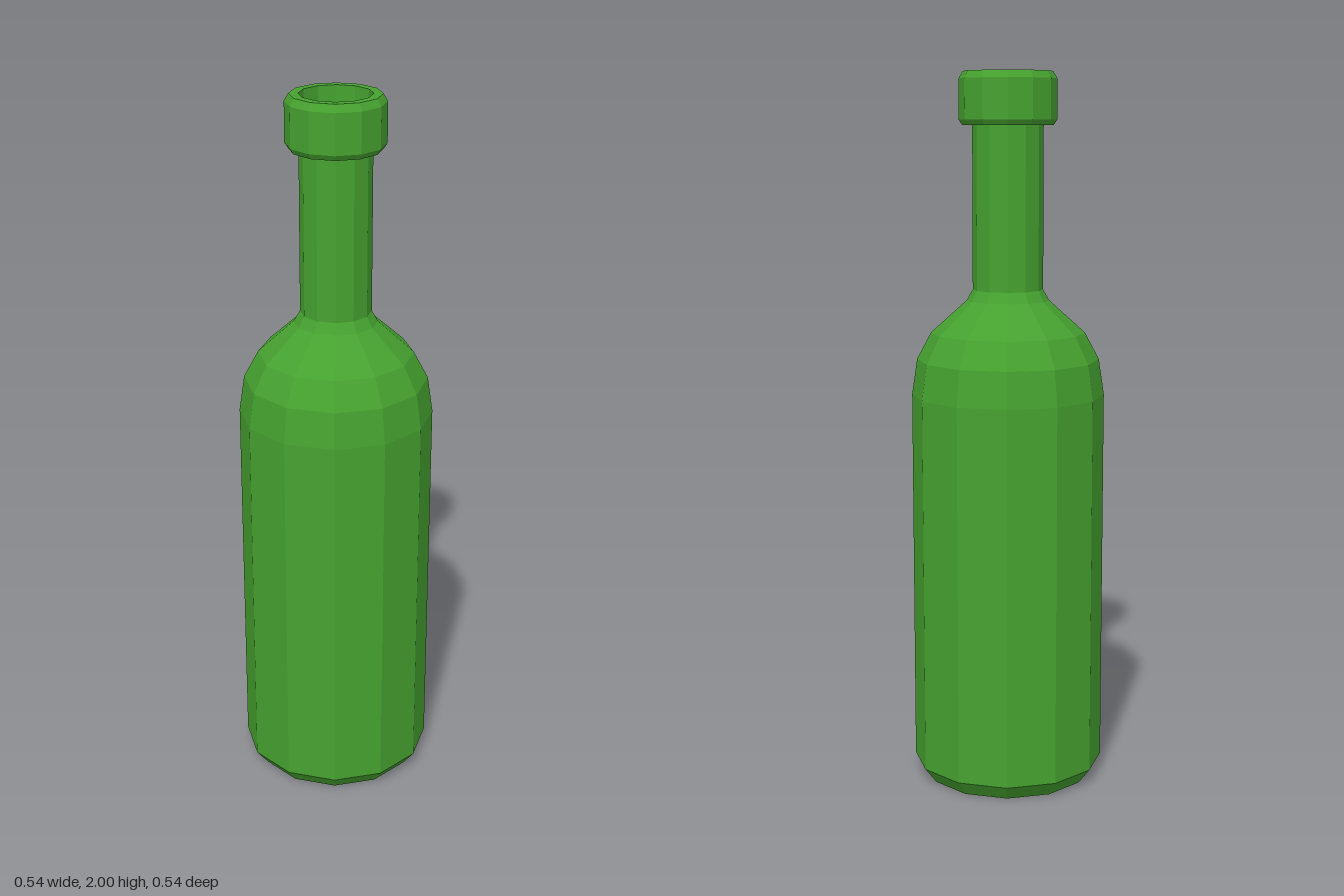
import * as THREE from 'three';

const SIDES = 12;

export function createModel() {
  const bottle = new THREE.Group();
  bottle.name = 'bottle';

  const greenGlass = new THREE.MeshStandardMaterial({ color: 0x46a230, flatShading: true });
  greenGlass.name = 'green glass';

  // Turns a [radius, height] profile into a faceted part
  const turned = (name, profile) => {
    const points = profile.map(([r, y]) => new THREE.Vector2(r, y));
    const mesh = new THREE.Mesh(new THREE.LatheGeometry(points, SIDES), greenGlass);
    mesh.name = name;
    bottle.add(mesh);
  };

  // Closed base with a bevel, straight wall and rounded shoulder
  turned('body', [
    [0, 0], [0.235, 0], [0.27, 0.045], [0.27, 1.11],
    [0.255, 1.21], [0.215, 1.285], [0.115, 1.375], [0.098, 1.405],
  ]);

  // Straight neck
  turned('neck', [[0.098, 1.405], [0.098, 1.855]]);

  // Bevelled collar around the mouth
  turned('lip', [
    [0.098, 1.855], [0.125, 1.855], [0.135, 1.87],
    [0.135, 1.98], [0.123, 2], [0.098, 2],
  ]);

  // Hollow inside of the neck, narrowing slightly to a floor
  turned('mouthInside', [[0.098, 2], [0.092, 1.41], [0, 1.41]]);

  return bottle;
}
